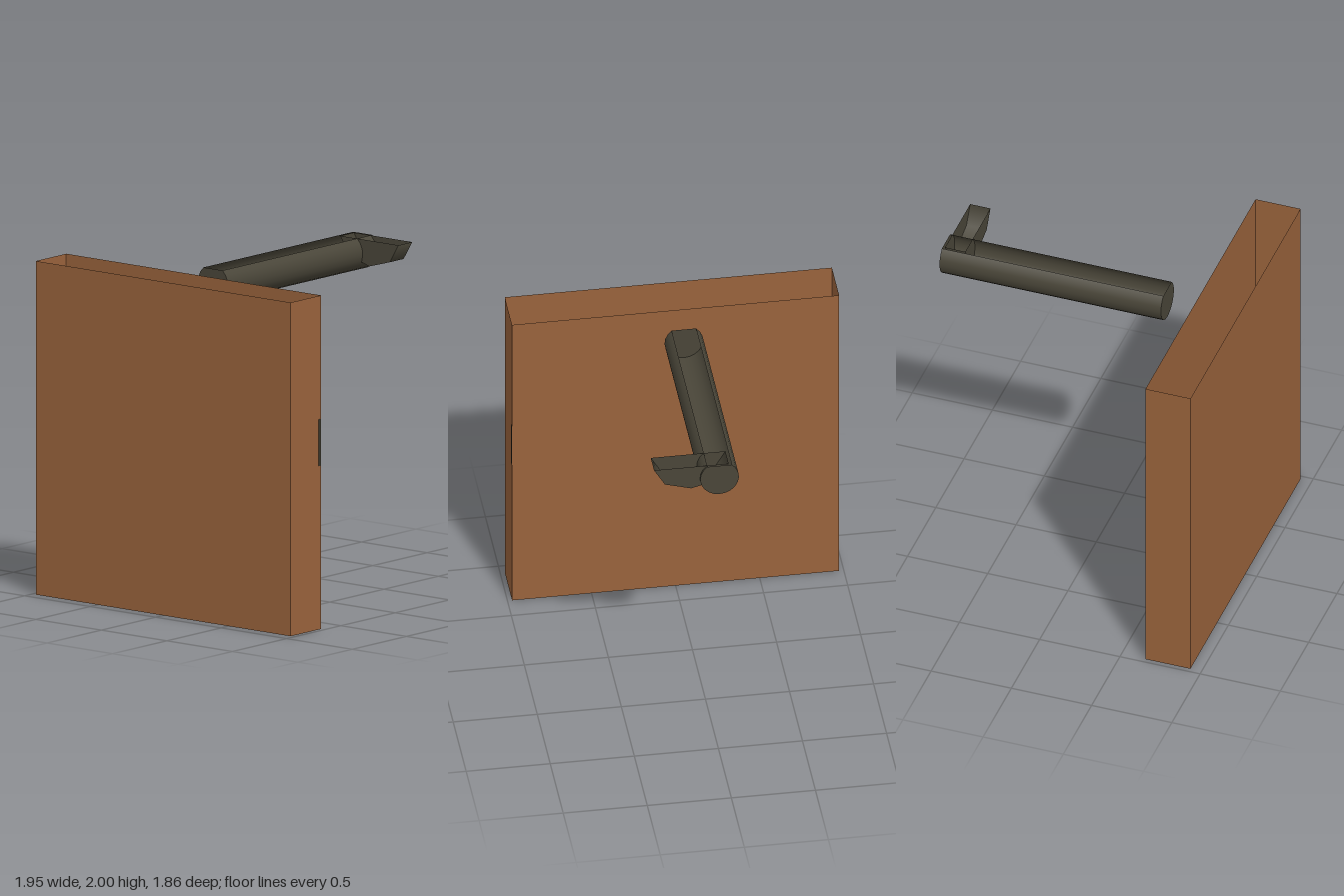
import * as THREE from 'three';

const brown = new THREE.MeshStandardMaterial({ color: 0x9a633c, side: THREE.DoubleSide });
brown.name = 'brown';
const darkOlive = new THREE.MeshStandardMaterial({ color: 0x4a4639, side: THREE.DoubleSide });
darkOlive.name = 'dark olive';

function part(name, geometry, material, x, y, z, parent) {
  const mesh = new THREE.Mesh(geometry, material);
  mesh.name = name;
  mesh.position.set(x, y, z);
  parent.add(mesh);
  return mesh;
}

// Lying shell along z, open at the top, with a flat wall at each end.
// "reach" is the angle the shell climbs on each side from its lowest line.
function openShell(name, rx, ry, reach, sides, length) {
  const group = new THREE.Group();
  group.name = name;
  const skin = new THREE.CylinderGeometry(1, 1, length, sides, 1, true, -reach, reach * 2);
  skin.rotateX(Math.PI / 2).scale(rx, ry, 1);
  part(name + 'Skin', skin, darkOlive, 0, 0, 0, group);

  const outline = [];
  for (let i = 0; i <= sides; i++) {
    const t = -reach + (2 * reach * i) / sides;
    outline.push(new THREE.Vector2(Math.sin(t) * rx, -Math.cos(t) * ry));
  }
  const wall = new THREE.ShapeGeometry(new THREE.Shape(outline));
  part(name + 'FrontWall', wall, darkOlive, 0, 0, length / 2, group);
  part(name + 'BackWall', wall, darkOlive, 0, 0, -length / 2, group).rotation.y = Math.PI;
  // the turned wall is mirror-symmetric, so it fits the shell
  return group;
}

export function createModel() {
  const model = new THREE.Group();

  // Upright hollow panel without a top face
  const panel = new THREE.BoxGeometry(1.945, 2, 0.28);
  const faces = Array.from(panel.index.array);
  faces.splice(12, 6);
  panel.setIndex(faces);
  panel.clearGroups();
  part('panel', panel, brown, 0, 1, 0.79, model);

  // Thin sliver on the panel's side
  part('sideSliver', new THREE.BoxGeometry(0.003, 0.28, 0.02), darkOlive, 0.973, 1.12, 0.662, model);

  // Long round bar with its top cut open
  const bar = openShell('bar', 0.115, 0.115, 2.46, 16, 1.38);
  bar.position.set(-0.018, 1.911, -0.24);
  model.add(bar);

  // Shallow cross arm at the back end
  const arm = openShell('crossArm', 0.222, 0.155, Math.PI / 2, 4, 0.126);
  arm.position.set(0.148, 2, -0.853);
  model.add(arm);

  return model;
}
